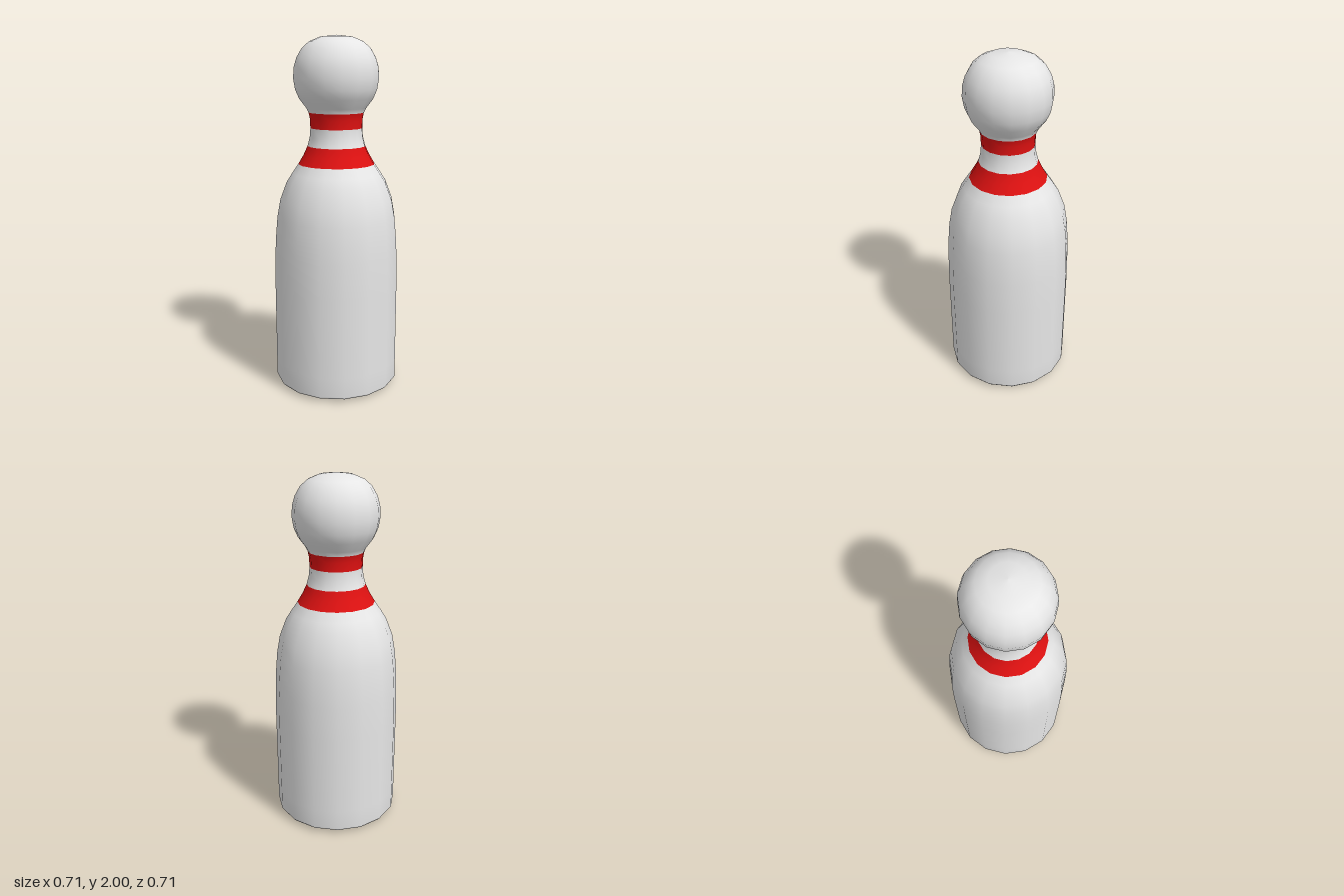
import * as THREE from 'three';

// Half profile of the pin, from the base centre to the crown: [radius, height]
const PROFILE = [
  [0, 0.005], [0.2, 0.01], [0.325, 0.017], [0.349, 0.024], [0.357, 0.036], [0.357, 0.15],
  [0.357, 0.6], [0.353, 0.8], [0.347, 0.9], [0.338, 1.0], [0.32, 1.1],
  [0.282, 1.2], [0.25, 1.25], [0.216, 1.3], [0.186, 1.35], [0.163, 1.4],
  [0.15, 1.45], [0.146, 1.5], [0.148, 1.55], [0.155, 1.585], [0.168, 1.61],
  [0.206, 1.66], [0.228, 1.71], [0.238, 1.77], [0.234, 1.83], [0.219, 1.88],
  [0.19, 1.93], [0.15, 1.965], [0.09, 1.99], [0, 2.0],
];
const SIDES = 16;

export function createModel() {
  const white = new THREE.MeshStandardMaterial({ color: 0xe6e6e6 });
  white.name = 'white';
  const red = new THREE.MeshStandardMaterial({ color: 0xdd1111 });
  red.name = 'red';

  const pin = new THREE.Group();
  pin.name = 'bowlingPin';

  // One smooth turned body; each part takes the rings between two heights,
  // so the normals stay continuous where the colours meet.
  const turned = new THREE.LatheGeometry(PROFILE.map(([r, y]) => new THREE.Vector2(r, y)), SIDES);
  const index = Array.from(turned.index.array);
  const pos = turned.attributes.position;

  function addPart(name, material, bottom, top) {
    const kept = [];
    for (let i = 0; i < index.length; i += 3) {
      const tri = index.slice(i, i + 3);
      const midY = tri.reduce((sum, v) => sum + pos.getY(v), 0) / 3;
      if (midY > bottom && midY < top) kept.push(...tri);
    }
    const geometry = turned.clone();
    geometry.setIndex(kept);
    const mesh = new THREE.Mesh(geometry, material);
    mesh.name = name;
    pin.add(mesh);
  }

  addPart('body', white, -1, 1.3);
  addPart('lowerStripe', red, 1.3, 1.4);
  addPart('neck', white, 1.4, 1.5);
  addPart('upperStripe', red, 1.5, 1.585);
  addPart('head', white, 1.585, 3);

  return pin;
}
